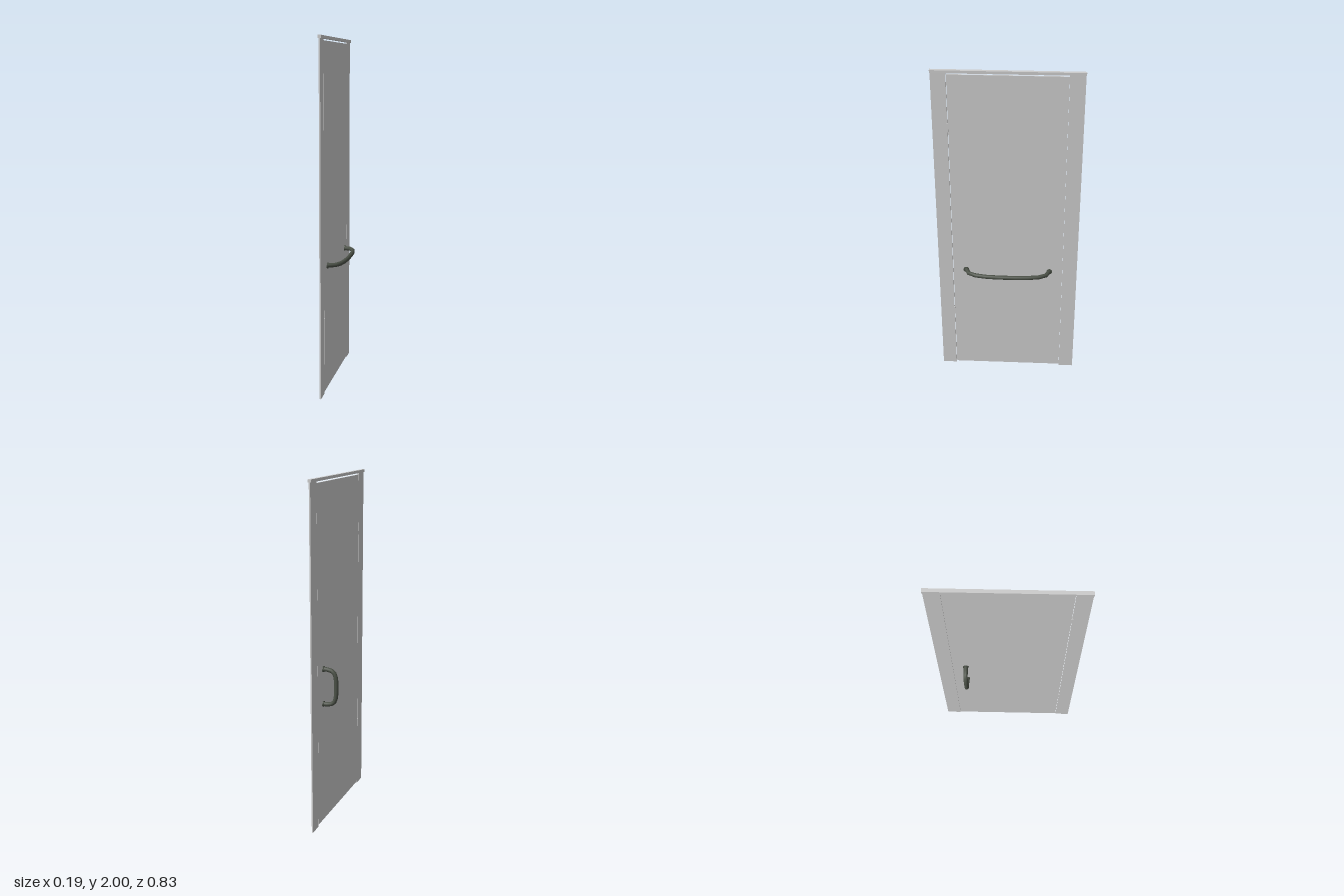
import * as THREE from 'three';

export function createModel() {
  const door = new THREE.Group();
  door.name = 'door';
  const grey = new THREE.MeshStandardMaterial({ color: 0xcccccc });
  const dark = new THREE.MeshStandardMaterial({ color: 0x4a5046 });

  const add = (name, geometry, material) => {
    const mesh = new THREE.Mesh(geometry, material);
    mesh.name = name;
    door.add(mesh);
    return mesh;
  };
  // Box given by its thickness in x and its ranges in y and z
  const slab = (name, thick, y0, y1, z0, z1) =>
    add(name, new THREE.BoxGeometry(thick, y1 - y0, z1 - z0), grey)
      .position.set(0, (y0 + y1) / 2, (z0 + z1) / 2);

  // Swinging leaf between two fixed side panels, under a top rail
  slab('doorLeaf', 0.008, 0.01, 1.975, -0.328, 0.328);
  slab('hingeSidePanel', 0.008, 0, 1.985, 0.331, 0.415);
  slab('latchSidePanel', 0.008, 0, 1.985, -0.415, -0.329);
  slab('topRail', 0.02, 1.984, 2, -0.417, 0.417);

  // Hinges
  for (const y of [0.42, 1.665]) slab('hinge', 0.016, y - 0.025, y + 0.025, 0.324, 0.336);

  // Round bar through the given points, one straight piece per point pair
  const bar = (name, points) => {
    const path = new THREE.CatmullRomCurve3(points);
    path.getPointAt = path.getPoint;
    path.getTangentAt = path.getTangent;
    add(name, new THREE.TubeGeometry(path, points.length - 1, 0.0125, 16), dark);
  };
  // Round foot joining a bar to the leaf
  const foot = (name, side, y, z) => {
    const mesh = add(name, new THREE.CylinderGeometry(0.017, 0.017, 0.007, 20), dark);
    mesh.rotation.z = Math.PI / 2;
    mesh.position.set(side * 0.0065, y, z);
  };

  // Mirrored half profiles: [distance from leaf, distance from middle]
  const mirrored = (half) => [...half, ...half.slice().reverse().map(([d, s]) => [d, -s])];

  // Long bowed towel bar
  const bow = [[0.002, 0.25], [0.046, 0.232], [0.068, 0.188], [0.079, 0.124], [0.083, 0.05]];
  bar('towelBar', mirrored(bow).map(([d, s]) => new THREE.Vector3(d, 0.73, s)));
  for (const z of [-0.25, 0.25]) foot('towelBarFoot', 1, 0.73, z);

  // Upright pull handle on the other side
  const pull = [[0.002, 0.104], [0.03, 0.103], [0.055, 0.098], [0.072, 0.085], [0.081, 0.06], [0.084, 0.025]];
  bar('pullHandle', mirrored(pull).map(([d, s]) => new THREE.Vector3(-d, 0.833 + s, -0.25)));
  for (const y of [0.73, 0.936]) foot('pullHandleFoot', -1, y, -0.25);

  return door;
}
